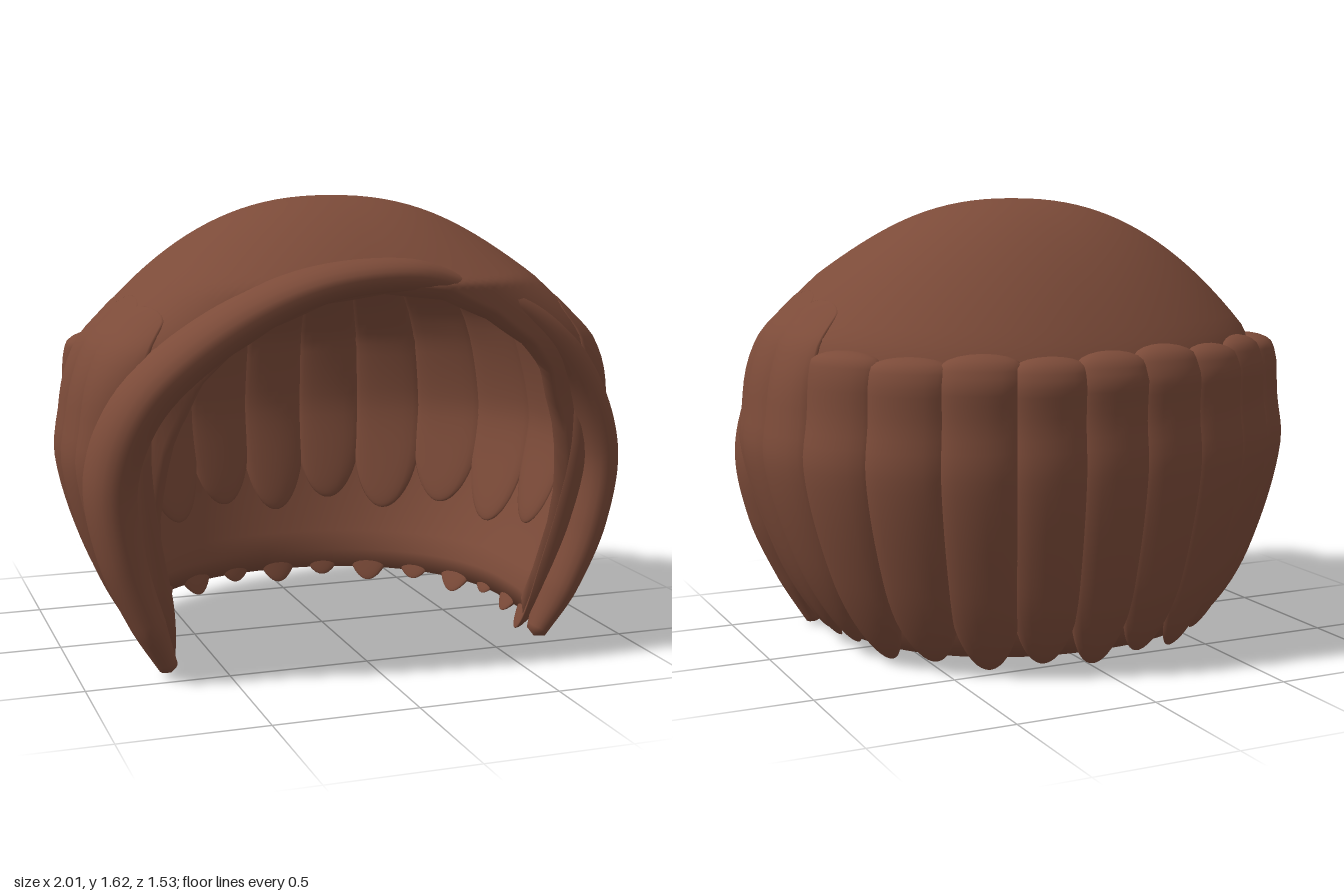
import * as THREE from 'three';
import { mergeVertices } from 'three/addons/utils/BufferGeometryUtils.js';

const TOP = 1.63, CENTRE_Z = 0.1;
const rad = THREE.MathUtils.degToRad;
const smooth = THREE.MathUtils.smoothstep;

// Smooth surface from rows x cols of points
function grid(rows, cols, fn) {
  const pos = [], idx = [];
  for (let j = 0; j <= rows; j++) {
    for (let i = 0; i <= cols; i++) pos.push(...fn(j / rows, i / cols));
  }
  for (let j = 0; j < rows; j++) {
    for (let i = 0; i < cols; i++) {
      const a = j * (cols + 1) + i, b = a + cols + 1;
      idx.push(a, b, a + 1, a + 1, b, b + 1);
    }
  }
  const g = new THREE.BufferGeometry();
  g.setAttribute('position', new THREE.Float32BufferAttribute(pos, 3));
  g.setIndex(idx);
  const merged = mergeVertices(g, 1e-4);
  merged.computeVertexNormals();
  return merged;
}

// Distance from the vertical axis to the hair surface, at an angle from the front
function radius(deg, y) {
  const s = Math.sin(rad(deg)), c = Math.cos(rad(deg));
  const h = Math.max(TOP - y, 0), belly = Math.abs(y - 0.75) ** 1.5;
  const dome = (h / 0.53) ** 0.435;
  const w = Math.min(1 - 0.43 * belly, 0.93 * dome);
  const back = Math.min(0.86 - 0.24 * belly, 0.78 * dome);
  const front = Math.min(0.42 + 0.14 * y, 0.6 * (h / 0.27) ** 0.47);
  if (w < 1e-5) return 0;
  const n = c > 0 ? 4 - 1.8 * smooth(y, 1.0, 1.55) : 2.12;
  const d = c > 0 ? front : back;
  return (Math.abs(s / w) ** n + Math.abs(c / d) ** n) ** (-1 / n);
}

function place(deg, y, r) {
  return [r * Math.sin(rad(deg)), y, CENTRE_Z + r * Math.cos(rad(deg))];
}

// The shell is tucked in beneath the locks
const tuck = (y) => -0.05 * (1 - smooth(y, 0.85, 1.15));

// Lower edge of the shell: face arch in front, straight hem behind
const RIM = [[0, 1.36], [20, 1.33], [35, 1.24], [45, 1.13], [51, 1.02], [58, 0.82], [64, 0.45], [67, 0.07], [181, 0.07]];
function rimHeight(deg) {
  const d = Math.abs(deg);
  const k = RIM.findIndex((p) => p[0] > d);
  const [d0, y0] = RIM[k - 1], [d1, y1] = RIM[k];
  return y0 + (y1 - y0) * (d - d0) / (d1 - d0);
}

// Outer dome, turned under at the rim into the inner lining
function shellGeometry() {
  return grid(80, 240, (v, u) => {
    const deg = -180 + 360 * u, inner = v > 0.5;
    const t = inner ? 2 - 2 * v : 2 * v;
    const y = TOP - (TOP - rimHeight(deg)) * t * t;
    const r = Math.max(0, radius(deg, y) + tuck(y));
    return inner ? place(deg, y - 0.14 * Math.max(0, y - 1), r * 0.94) : place(deg, y, r);
  });
}

// Flattened lock lying along the surface, with a rounded tip; blend melts its top into the dome
function lockGeometry({ deg, half, top, tip, thick, lean = 0, blend = false, inset = null }) {
  return grid(36, 18, (v, u) => {
    const t = (1 - Math.cos(Math.PI * v)) / 2;
    const y = top + (tip - top) * t;
    const end = Math.max(0, (t - 0.74) / 0.26), start = Math.max(0, 1 - t / 0.04);
    const taper = Math.sqrt(Math.max(0, 1 - end * end)) * Math.sqrt(Math.max(0, 1 - start * start));
    const phi = u * Math.PI * 2;
    const flat = blend ? 1 - 0.9 * smooth(y, 0.9, 1.25) : 1;
    const bulge = Math.sin(phi) * (inset === null && Math.sin(phi) < 0 ? 0.4 : 1);
    const a = deg + lean * (1 - t) - half * taper * Math.cos(phi);
    const off = (inset === null ? tuck(y) : -inset) + thick * flat * taper * bulge;
    return place(a, y, Math.max(0.01, radius(a, y) + off));
  });
}

// Rolled fringe swept along the face arch; points are x, y, z, width, depth
function fringeGeometry(points) {
  const path = new THREE.CatmullRomCurve3(points.map((p) => new THREE.Vector3(p[0], p[1], p[2])));
  const size = new THREE.CatmullRomCurve3(points.map((p) => new THREE.Vector3(p[3], p[4], 0)));
  const zAxis = new THREE.Vector3(0, 0, 1);
  return grid(64, 20, (v, u) => {
    const c = path.getPoint(v), s = size.getPoint(v);
    const side = path.getTangent(v).cross(zAxis).normalize();
    const phi = u * Math.PI * 2;
    const cap = v === 0 || v === 1 ? 0.02 : 1;
    c.addScaledVector(side, s.x * cap * Math.cos(phi));
    c.z += s.y * cap * Math.sin(phi);
    return [c.x, c.y, c.z];
  });
}

export function createModel() {
  const model = new THREE.Group();
  model.name = 'hair';
  const brown = new THREE.MeshStandardMaterial({ color: 0x7c4b39 });
  brown.name = 'chestnut brown';
  const add = (geometry, name) => {
    const mesh = new THREE.Mesh(geometry, brown);
    mesh.name = name;
    model.add(mesh);
  };

  add(shellGeometry(), 'crownShell');

  // Back locks with a stepped top edge, fuller towards the right
  for (let k = -4; k <= 4; k++) {
    add(lockGeometry({
      deg: 180 + 16 * k, half: 9.5, top: 1.13 + 0.012 * (k % 2), tip: 0.02 + 0.02 * Math.abs(k % 2),
      thick: k === 4 ? 0.09 : 0.06,
    }), 'backLock');
  }

  // Side locks that flow up into the dome
  for (const side of [-1, 1]) {
    [[102, 1.28, 0.05, -5], [87, 1.3, 0.03, -6], [73, 1.28, 0.01, -4]].forEach(([deg, top, tip, lean]) => {
      add(lockGeometry({ deg: side * deg, half: 10, top, tip, thick: 0.06, lean: side * lean, blend: true }),
        side > 0 ? 'leftSideLock' : 'rightSideLock');
    });
  }

  // Shorter locks on the inside
  for (let k = -5; k <= 5; k++) {
    add(lockGeometry({ deg: 180 + 18 * k, half: 10, top: 1.4, tip: 0.32 + 0.04 * Math.abs(k % 2), thick: 0.035, inset: 0.1 }),
      'innerLock');
  }

  // Fringe swept both ways from the off-centre parting
  add(fringeGeometry([
    [0.35, 1.32, 0.61, 0.03, 0.05], [0.1, 1.38, 0.64, 0.055, 0.09], [-0.25, 1.35, 0.64, 0.065, 0.12],
    [-0.55, 1.21, 0.6, 0.08, 0.14], [-0.8, 0.98, 0.52, 0.09, 0.16], [-0.89, 0.72, 0.46, 0.09, 0.15],
    [-0.86, 0.45, 0.45, 0.08, 0.13], [-0.77, 0.2, 0.44, 0.06, 0.11], [-0.69, 0.02, 0.43, 0.03, 0.04],
  ]), 'rightFringe');
  add(fringeGeometry([
    [0.28, 1.36, 0.58, 0.03, 0.05], [0.5, 1.26, 0.56, 0.06, 0.09], [0.76, 1.03, 0.48, 0.08, 0.14],
    [0.89, 0.72, 0.43, 0.09, 0.15], [0.86, 0.45, 0.43, 0.08, 0.14], [0.77, 0.2, 0.43, 0.06, 0.11],
    [0.69, 0.01, 0.42, 0.03, 0.04],
  ]), 'leftFringe');

  return model;
}
